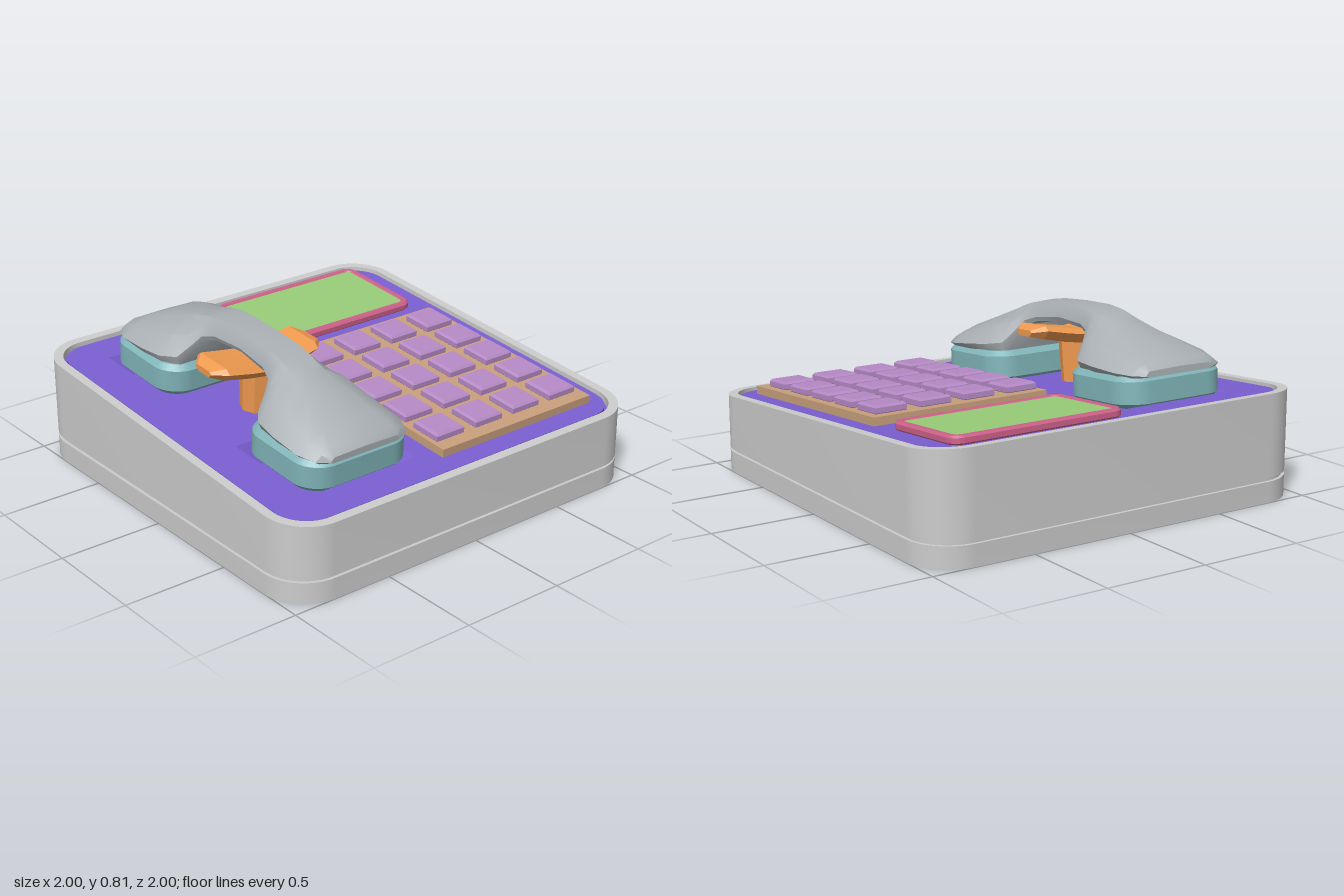
import * as THREE from 'three';
import { toCreasedNormals } from 'three/addons/utils/BufferGeometryUtils.js';

const mat = (color) => new THREE.MeshStandardMaterial({ color, side: THREE.DoubleSide });
const GREY = mat(0xcccccc), PURPLE = mat(0x7a5fd0), TAN = mat(0xc8a07c), LILAC = mat(0xb68ac6);
const GREEN = mat(0x98cc78), PINK = mat(0xcc6088), ORANGE = mat(0xf09a50), TEAL = mat(0x80b4b8);
const HANDSET = mat(0xaab0b4);

const SLOPE = 0.075, MID = 0.435;        // top plane: y = MID - SLOPE * z
const CRADLE_X = -0.45, WELL_Z = 0.51;

function add(parent, name, geo, material, x = 0, y = 0, z = 0) {
  const mesh = new THREE.Mesh(geo, material);
  mesh.name = name;
  mesh.position.set(x, y, z);
  parent.add(mesh);
  return mesh;
}

// Rounded (or square) rectangle outline centred on (cx, cz)
function rect(w, d, r = 0, cx = 0, cz = 0, Type = THREE.Shape) {
  const s = new Type(), x = w / 2, y = d / 2, c = -cz;
  if (!r) {
    return s.moveTo(cx - x, c - y).lineTo(cx + x, c - y).lineTo(cx + x, c + y).lineTo(cx - x, c + y).closePath();
  }
  s.absarc(cx + x - r, c - y + r, r, -Math.PI / 2, 0);
  s.absarc(cx + x - r, c + y - r, r, 0, Math.PI / 2);
  s.absarc(cx - x + r, c + y - r, r, Math.PI / 2, Math.PI);
  s.absarc(cx - x + r, c - y + r, r, Math.PI, Math.PI * 1.5);
  s.closePath();
  return s;
}

// Flat slab rising from y0 to y1, optionally with chamfered edges
function slab(shape, y0, y1, bevel = 0) {
  const geo = new THREE.ExtrudeGeometry(shape, {
    depth: y1 - y0 - 2 * bevel, curveSegments: 8, bevelEnabled: bevel > 0,
    bevelSize: bevel, bevelThickness: bevel, bevelOffset: -bevel, bevelSegments: 1,
  });
  geo.rotateX(-Math.PI / 2).translate(0, y0 + bevel, 0);
  return toCreasedNormals(geo, 0.5);
}

// Skin over cross-sections [[x, y], ...] placed at rising z, closed at both ends
function loft(stations, crease) {
  const n = stations[0].points.length, pos = [], idx = [];
  stations.forEach(({ z, points }, i) => {
    points.forEach(([x, y], j) => {
      pos.push(x, y, z);
      if (i === 0) return;
      const k = (j + 1) % n, a = (i - 1) * n + j, b = (i - 1) * n + k;
      idx.push(a, b, i * n + k, a, i * n + k, i * n + j);
    });
  });
  const end = (stations.length - 1) * n;
  for (let j = 1; j < n - 1; j++) idx.push(0, j + 1, j, end, end + j, end + j + 1);
  const geo = new THREE.BufferGeometry();
  geo.setAttribute('position', new THREE.Float32BufferAttribute(pos, 3));
  geo.setIndex(idx);
  return toCreasedNormals(geo, crease);
}

// Mirror a half list of [distance, ...values] (outermost first, ending at 0)
const mirrored = (half) => [
  ...half.map(([d, ...v]) => [-d, ...v]),
  ...half.slice(0, -1).reverse(),
];

function buildBody(model) {
  const body = new THREE.Group();
  body.name = 'body';
  add(body, 'basePlate', slab(rect(2, 2, 0.21), 0, 0.1), GREY);
  add(body, 'seam', slab(rect(1.97, 1.97, 0.195), 0.1, 0.12), GREY);
  // Wall with its upper edge sheared to the sloping top plane
  const ring = rect(2, 2, 0.21);
  ring.holes.push(rect(1.91, 1.91, 0.165, 0, 0, THREE.Path));
  const wall = slab(ring, 0, 1);
  const p = wall.attributes.position;
  for (let i = 0; i < p.count; i++) {
    const z = p.getZ(i);
    p.setY(i, p.getY(i) > 0.5 ? MID - SLOPE * z : 0.115 - 0.004 * z);
  }
  add(body, 'wall', toCreasedNormals(wall, 0.5), GREY);
  model.add(body);
}

function buildPanel(deck) {
  // Two stepped layers leave a thin channel inside the rim
  [['panelUnderlay', 1.908, 0.165, -0.06, -0.035], ['panel', 1.88, 0.15, -0.035, -0.012]]
    .forEach(([name, size, r, y0, y1]) => {
      const shape = rect(size, size, r);
      for (const s of [-1, 1]) shape.holes.push(rect(0.6, 0.51, 0, CRADLE_X, s * WELL_Z, THREE.Path));
      add(deck, name, slab(shape, y0, y1), PURPLE);
    });
  // Tapered wells that take the handset ends
  for (const s of [-1, 1]) {
    const sides = new THREE.CylinderGeometry(Math.SQRT1_2, 0.55, 0.1, 4, 1, true);
    sides.rotateY(Math.PI / 4).scale(0.6, 1, 0.51);
    add(deck, 'wellSides', toCreasedNormals(sides, 0.3), PURPLE, CRADLE_X, -0.062, s * WELL_Z);
    add(deck, 'wellFloor', new THREE.BoxGeometry(0.48, 0.01, 0.41), PURPLE, CRADLE_X, -0.112, s * WELL_Z);
  }
}

function buildKeypadAndScreen(deck) {
  add(deck, 'keypadPlate', new THREE.BoxGeometry(0.91, 0.045, 1.13), TAN, 0.395, 0.0045, 0.275);
  const key = slab(rect(0.16, 0.16), 0.02, 0.064, 0.01);
  for (let row = 0; row < 5; row++) {
    for (let col = 0; col < 4; col++) {
      add(deck, 'key', key, LILAC, 0.04 + col * 0.23, 0, -0.155 + row * 0.2125);
    }
  }
  const frame = rect(0.88, 0.51, 0.06);
  frame.holes.push(rect(0.8, 0.43, 0.025, 0, 0, THREE.Path));
  add(deck, 'screenFrame', slab(frame, -0.015, 0.028, 0.01), PINK, 0.39, 0, -0.645);
  add(deck, 'screen', slab(rect(0.83, 0.46, 0.03), -0.015, 0.022), GREEN, 0.39, 0, -0.645);
}

function buildCradle(deck) {
  const post = new THREE.CylinderGeometry(0.087, 0.078, 0.24, 8);
  add(deck, 'cradlePost', toCreasedNormals(post, 0.3), ORANGE, CRADLE_X, 0.09, 0.005);
  // Saddle with raised wings: [x, half width, centre y, half thickness]
  const stations = mirrored([
    [0.3, 0.06, 0.25, 0.015], [0.245, 0.122, 0.253, 0.032], [0.12, 0.125, 0.228, 0.034], [0, 0.125, 0.21, 0.034],
  ]).map(([z, w, y, h]) => ({
    z,
    points: [[w, y + 0.3 * h], [0.8 * w, y + h], [-0.8 * w, y + h], [-w, y + 0.3 * h], [-0.65 * w, y - h], [0.65 * w, y - h]],
  }));
  add(deck, 'cradleSaddle', loft(stations, 0.2).rotateY(Math.PI / 2), ORANGE, CRADLE_X, 0, 0.005);
}

function buildHandset(deck) {
  const handset = new THREE.Group();
  handset.name = 'handset';
  handset.position.x = CRADLE_X;
  // Arched grip flaring into both ends: [z, half width, top, bottom, top half width]
  const stations = mirrored([
    [0.775, 0.19, 0.14, 0.112, 0.17], [0.745, 0.25, 0.17, 0.112, 0.17], [0.66, 0.285, 0.212, 0.112, 0.14],
    [0.5, 0.288, 0.268, 0.112, 0.1], [0.38, 0.275, 0.31, 0.112, 0.08], [0.31, 0.225, 0.335, 0.115, 0.075],
    [0.275, 0.165, 0.345, 0.19, 0.075], [0.25, 0.13, 0.35, 0.245, 0.075], [0.18, 0.107, 0.362, 0.268, 0.072], [0, 0.1, 0.367, 0.285, 0.07],
  ]).map(([z, w, top, bot, t]) => {
    const h = top - bot, m = t + 0.6 * (w - t);
    const right = [[0.92 * w, bot], [w, bot + 0.22 * h], [m, bot + 0.66 * h], [t, top]];
    return { z, points: [...right, [0, top + 0.004], ...right.map(([x, y]) => [-x, y]).reverse()] };
  });
  add(handset, 'grip', loft(stations, 0.6), HANDSET);
  const pad = slab(rect(0.58, 0.5, 0.13), -0.03, 0.122, 0.025);
  for (const s of [-1, 1]) add(handset, s > 0 ? 'mouthpiece' : 'earpiece', pad, TEAL, 0, 0, s * 0.522);
  deck.add(handset);
}

export function createModel() {
  const model = new THREE.Group();
  model.name = 'deskTelephone';
  buildBody(model);
  // Everything on top shares the tilt of the deck
  const deck = new THREE.Group();
  deck.name = 'deck';
  deck.position.y = MID;
  deck.rotation.x = Math.atan(SLOPE);
  buildPanel(deck);
  buildKeypadAndScreen(deck);
  buildCradle(deck);
  buildHandset(deck);
  model.add(deck);
  return model;
}
